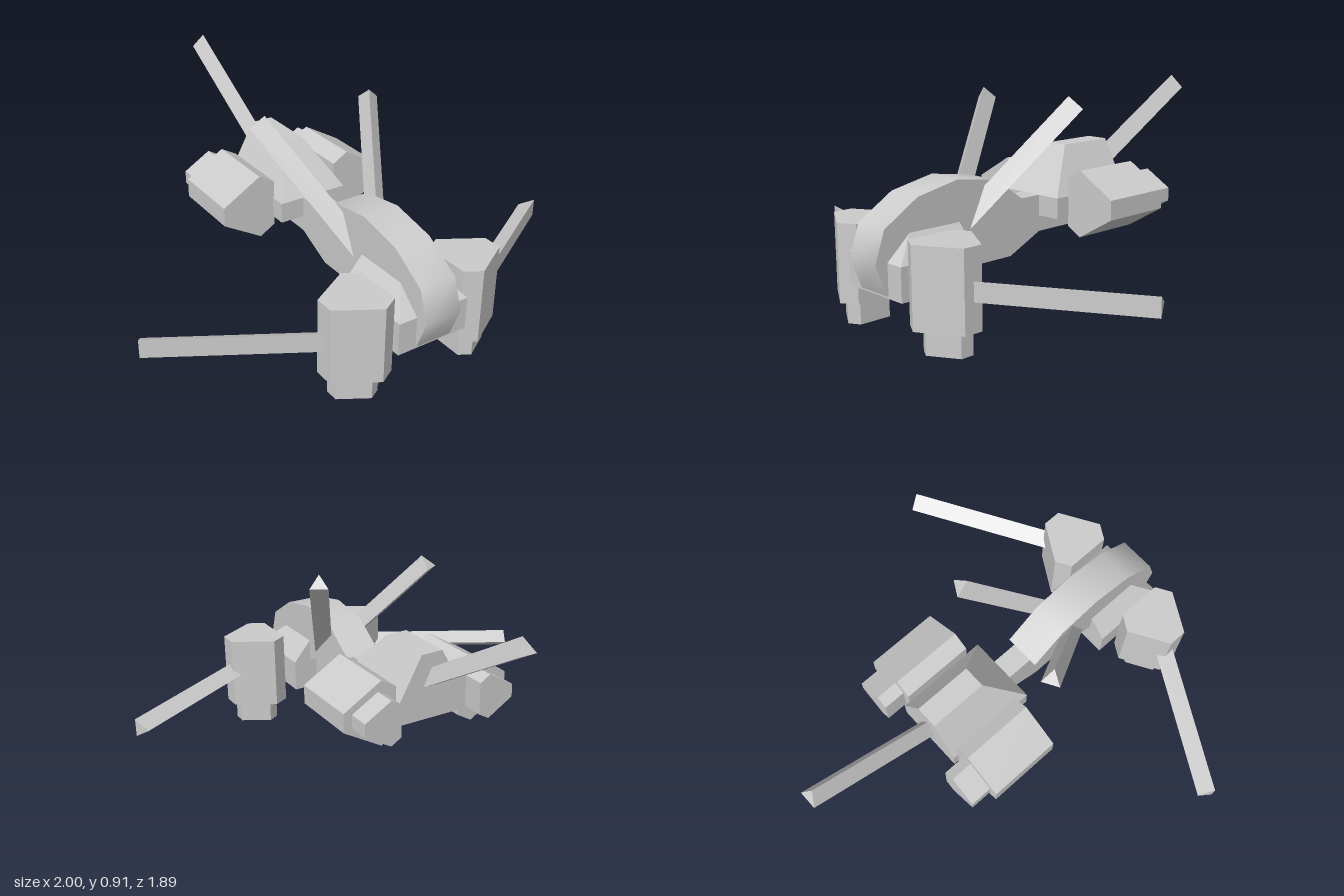
import * as THREE from 'three';
import { toCreasedNormals } from 'three/addons/utils/BufferGeometryUtils.js';
import { ConvexGeometry } from 'three/addons/geometries/ConvexGeometry.js';

const V = (x, y, z) => new THREE.Vector3(x, y, z);
const smooth = new THREE.MeshStandardMaterial({ color: 0xcccccc });
const flat = new THREE.MeshStandardMaterial({ color: 0xcccccc, flatShading: true });

function mesh(name, geometry, material = flat) {
  const m = new THREE.Mesh(geometry, material);
  m.name = name;
  return m;
}

function extrude(points, depth) {
  const shape = new THREE.Shape(points.map(([x, y]) => new THREE.Vector2(x, y)));
  return new THREE.ExtrudeGeometry(shape, { depth, bevelEnabled: false });
}

// Side profile given as [z, y], extruded across x and centred
function sideProfile(points, width) {
  return extrude(points, width).translate(0, 0, -width / 2).rotateY(-Math.PI / 2);
}

// Box whose upper part slopes in at the sides and front, with an upright back
function hull(halfW, topHalfW, [y0, y1, y2], zBack, zFront, zTopFront) {
  const pts = [];
  for (const s of [-1, 1]) {
    for (const y of [y0, y1]) pts.push(V(s * halfW, y, zBack), V(s * halfW, y, zFront));
    pts.push(V(s * topHalfW, y2, zBack), V(s * topHalfW, y2, zTopFront));
  }
  return new ConvexGeometry(pts);
}

// Six-sided engine pod with a smaller nozzle, standing along local z
function pod(name, side) {
  const section = k => [
    [0.1225, -0.042], [0.1225, 0.042], [-0.0525, 0.145],
    [-0.1225, 0.104], [-0.1225, -0.104], [-0.0525, -0.145],
  ].map(([x, y]) => [side * x * k, y * k]);
  const g = new THREE.Group();
  g.name = name;
  g.add(mesh('podBody', extrude(section(1), 0.33).translate(0, 0, 0.1)));
  g.add(mesh('podNozzle', extrude(section(0.69), 0.11)));
  return g;
}

// Three-sided bar ending at tip, running along dir, ridge towards up
function fin(name, tip, dir, up, length) {
  dir.normalize();
  up.normalize();
  const g = extrude([[-0.04, 0], [0.04, 0], [0, 0.07]], length).translate(0, 0, -length);
  const right = new THREE.Vector3().crossVectors(up, dir);
  g.applyMatrix4(new THREE.Matrix4().makeBasis(right, up, dir).setPosition(tip));
  return mesh(name, g);
}

export function createModel() {
  const model = new THREE.Group();
  model.name = 'spacecraft';

  // Rounded central spine
  const spine = sideProfile([
    [0.54, 0.2], [0.895, 0.2], [0.945, 0.33], [0.9, 0.46], [0.74, 0.56],
    [0.54, 0.6], [0.34, 0.57], [0.18, 0.46], [0.54, 0.33],
  ], 0.165);
  model.add(mesh('spine', toCreasedNormals(spine, 0.9), smooth));

  // Neck joining front and rear hulls
  model.add(mesh('neck', sideProfile([
    [0.6, 0.22], [0.6, 0.31], [0.54, 0.33], [0.18, 0.46], [-0.3, 0.46],
    [-0.3, 0.37], [-0.22, 0.3], [0.06, 0.3], [0.23, 0.22],
  ], 0.1)));

  // Hulls
  model.add(mesh('frontHull', hull(0.165, 0.08, [0.19, 0.33, 0.43], 0.535, 0.89, 0.78)));
  model.add(mesh('rearHull', hull(0.16, 0.05, [0.37, 0.46, 0.66], -0.365, 0.06, -0.1)));

  // Paired engines and fins
  for (const s of [-1, 1]) {
    const label = s > 0 ? 'left' : 'right';
    const front = pod(label + 'FrontPod', s);
    front.rotation.x = -Math.PI / 2;
    front.position.set(s * 0.288, 0, 0.752);
    const rear = pod(label + 'RearPod', s);
    rear.position.set(s * 0.278, 0.435, -0.44);
    model.add(front, rear);

    model.add(fin(label + 'SideFin', V(s, 0.26, 0.41),
      V(s * 0.866, 0, -0.5), V(s * -0.5, 0, -0.866), 0.74));
    model.add(fin(label + 'UpperFin', V(s * 0.2825, 0.856, 0.055),
      V(s * 0.354, 0.707, -0.612), V(s * -0.354, 0.707, 0.612), 0.7));
  }

  // Tail fin
  model.add(fin('tailFin', V(0, 0.85, -0.945), V(0, 0.5, -0.866), V(0, 0.866, 0.5), 0.74));
  return model;
}
